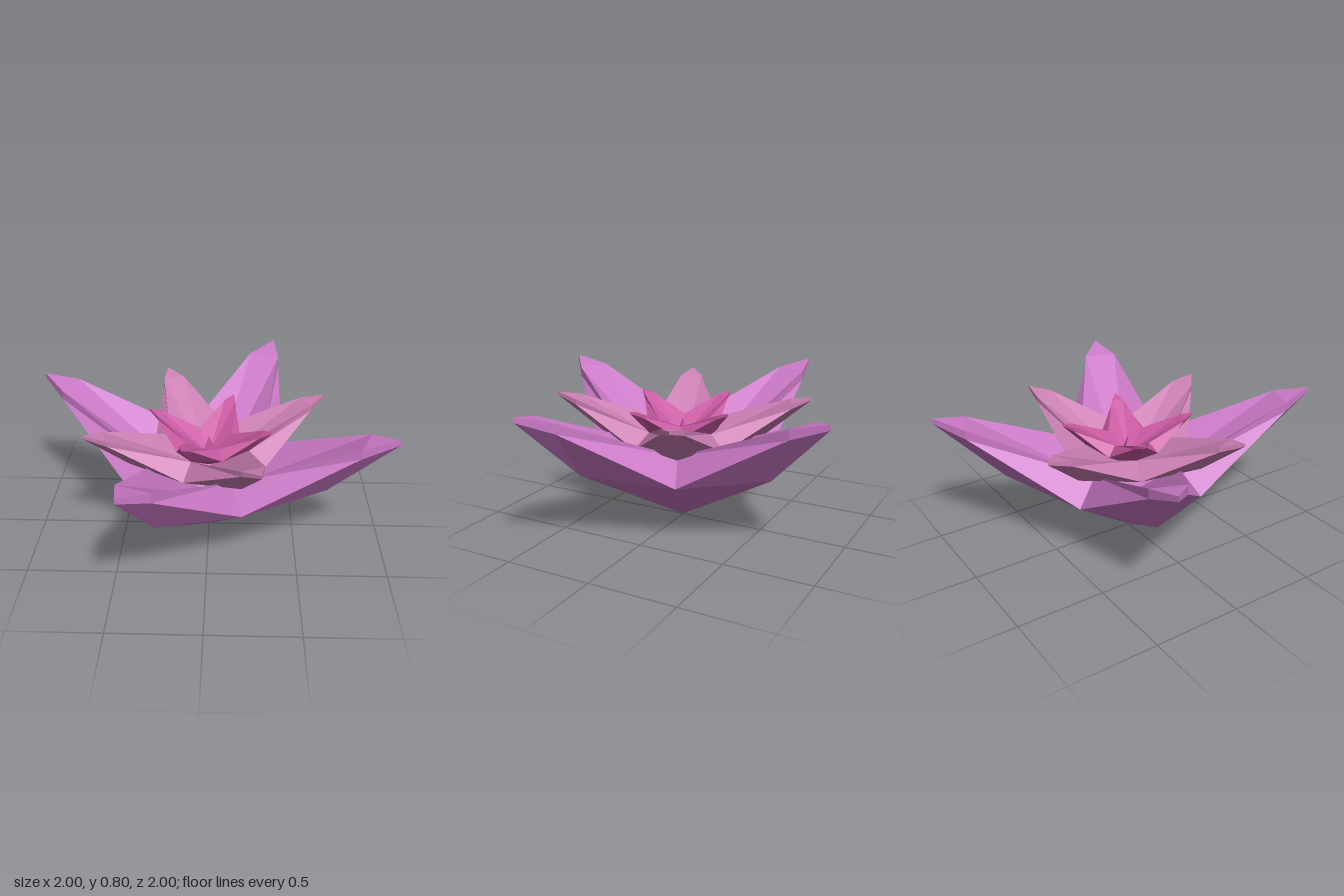
import * as THREE from 'three';

// Corner points of half a petal: x runs outward, y up, z to the side
const P = {
  C: [0, 0.2, 0], U: [0.24, 0.48, 0.24], M: [0.905, 0.755, 0], S: [0.905, 0.755, 0.096], T: [1.077, 0.8, 0],
  b: [0, 0, 0], n: [0.34, 0.34, 0.34], k: [0.71, 0.41, 0], s: [0.905, 0.7, 0.096], t: [1.077, 0.77, 0],
};

const FACES = [
  'CUS', 'CSM', 'MST',        // hollowed upper face
  'Uns', 'UsS', 'Sst', 'StT', // bevelled side
  'nbk', 'nks', 'skt',        // keeled underside
];

// Full petal: the half plus its mirror image; spread widens the foot of the petal
function petalGeometry(spread) {
  const pos = [];
  for (const side of [1, -1]) {
    for (const face of FACES) {
      const corners = [...face];
      if (side < 0) corners.reverse();
      for (const c of corners) {
        const f = c === 'U' || c === 'n' ? spread : 1;
        pos.push(P[c][0] * f, P[c][1], P[c][2] * f * side);
      }
    }
  }
  const g = new THREE.BufferGeometry();
  g.setAttribute('position', new THREE.Float32BufferAttribute(pos, 3));
  g.computeVertexNormals();
  return g;
}

const paint = (color) => new THREE.MeshStandardMaterial({ color, flatShading: true });

export function createModel() {
  const flower = new THREE.Group();
  flower.name = 'lotusFlower';

  // Three nested rings of four petals, each turned against the one below
  const rings = [
    { name: 'outer', width: 1, height: 1, spread: 1, y: 0, turn: 21.8, color: 0xcc7ac8 },
    { name: 'middle', width: 0.675, height: 0.56, spread: 1.08, y: 0.288, turn: -22.8, color: 0xcc80b4 },
    { name: 'inner', width: 0.35, height: 0.36, spread: 1.18, y: 0.412, turn: 21.8, color: 0xca5aa2 },
  ];
  for (const r of rings) {
    const ring = new THREE.Group();
    ring.name = r.name + 'Petals';
    const petal = petalGeometry(r.spread);
    const material = paint(r.color);
    for (let i = 0; i < 4; i++) {
      const mesh = new THREE.Mesh(petal, material);
      mesh.name = r.name + 'Petal';
      mesh.rotation.y = -THREE.MathUtils.degToRad(r.turn + i * 90);
      ring.add(mesh);
    }
    ring.scale.set(r.width, r.height, r.width);
    ring.position.y = r.y;
    flower.add(ring);
  }

  // Small pointed bud in the centre
  const bud = new THREE.Mesh(new THREE.ConeGeometry(0.04, 0.1, 4), paint(0xca5aa2));
  bud.name = 'bud';
  bud.position.y = 0.55;
  bud.rotation.y = 0.4;
  flower.add(bud);

  return flower;
}
